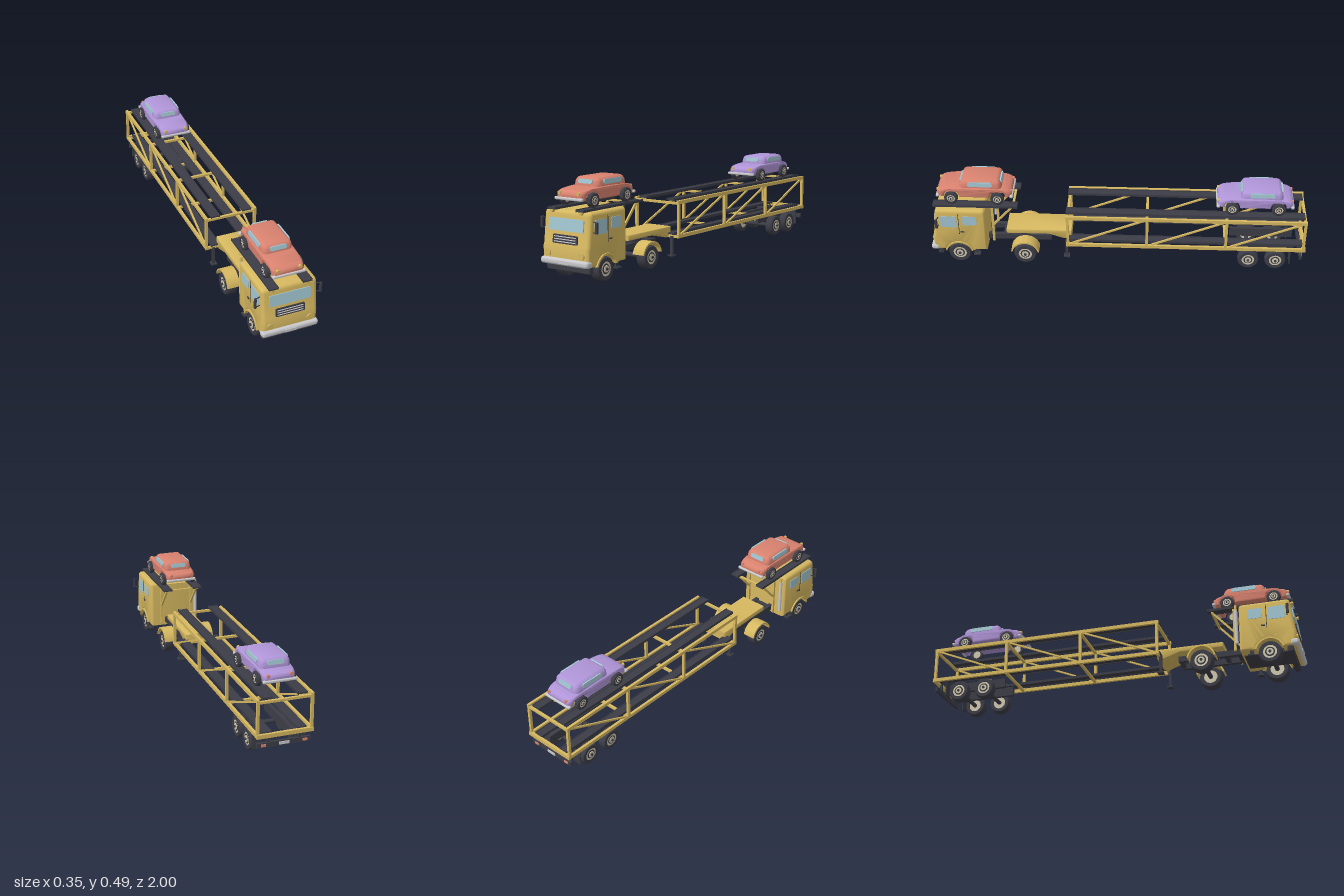
import * as THREE from 'three';
import { toCreasedNormals } from 'three/addons/utils/BufferGeometryUtils.js';
import { RoundedBoxGeometry } from 'three/addons/geometries/RoundedBoxGeometry.js';

const mat = (name, color, side = THREE.FrontSide) => {
  const m = new THREE.MeshStandardMaterial({ color, side });
  m.name = name;
  return m;
};

export function createModel() {
  const yellow = mat('mustard paint', 0xd6b860), dark = mat('dark rubber and steel', 0x3d3d47);
  const silver = mat('silver', 0xc9c9cc), glass = mat('pale blue glass', 0xa2c6d2);
  const red = mat('coral paint', 0xd9826f), purple = mat('lilac paint', 0xb095d8);
  const cream = mat('cream wheel', 0xd0c7ae);
  const root = new THREE.Group();
  root.name = 'carTransporter';

  const group = (name, parent = root) => {
    const g = new THREE.Group();
    g.name = name;
    parent.add(g);
    return g;
  };
  const add = (p, name, geo, m, x = 0, y = 0, z = 0) => {
    const mesh = new THREE.Mesh(geo, m);
    mesh.name = name;
    mesh.position.set(x, y, z);
    p.add(mesh);
    return mesh;
  };
  // Box given by its size and centre
  const box = (p, name, m, w, h, d, x, y, z) => add(p, name, new THREE.BoxGeometry(w, h, d), m, x, y, z);
  const rbox = (p, name, m, w, h, d, r, x, y, z) => add(p, name, new RoundedBoxGeometry(w, h, d, 3, r), m, x, y, z);
  // Square bar between two points
  const beam = (p, name, m, a, b, t) => {
    const A = new THREE.Vector3(...a), B = new THREE.Vector3(...b);
    const mesh = box(p, name, m, t, t, A.distanceTo(B), 0, 0, 0);
    mesh.position.copy(A).add(B).multiplyScalar(0.5);
    mesh.lookAt(B);
    return mesh;
  };
  const disc = (p, name, m, r, d, x, y, z, axis = 'z') => {
    const g = new THREE.CylinderGeometry(r, r, d, 24);
    if (axis === 'z') g.rotateX(Math.PI / 2);
    if (axis === 'x') g.rotateZ(Math.PI / 2);
    return add(p, name, g, m, x, y, z);
  };
  // Side profile drawn in (z, y), extruded across x with rounded edges
  const sideExtrude = (shape, width, bevel) => {
    const g = new THREE.ExtrudeGeometry(shape, {
      depth: width - 2 * bevel, curveSegments: 14, bevelEnabled: bevel > 0,
      bevelSize: bevel, bevelThickness: bevel, bevelOffset: -bevel, bevelSegments: 4,
    });
    g.translate(0, 0, -(width - 2 * bevel) / 2).rotateY(-Math.PI / 2);
    return toCreasedNormals(g, 0.7);
  };
  // Thin plate with rounded corners, facing z
  const plate = (p, name, m, w, h, r, x, y, z, t = 0.006) => {
    const s = new THREE.Shape(), a = w / 2 - r, b = h / 2 - r;
    s.absarc(a, b, r, 0, Math.PI / 2).absarc(-a, b, r, Math.PI / 2, Math.PI);
    s.absarc(-a, -b, r, Math.PI, Math.PI * 1.5).absarc(a, -b, r, Math.PI * 1.5, Math.PI * 2);
    const g = new THREE.ExtrudeGeometry(s, { depth: t, bevelEnabled: false, curveSegments: 5 });
    return add(p, name, g.translate(0, 0, -t / 2), m, x, y, z);
  };
  const wheel = (p, name, r, w, x, y, z) => {
    const g = group(name, p), h = w / 2, s = Math.sign(x);
    g.position.set(x, y, z);
    const pts = [[0.6, -h], [0.9, -h], [0.97, -h * 0.85], [1, -h * 0.6], [1, h * 0.6], [0.97, h * 0.85], [0.9, h], [0.6, h], [0.6, -h]];
    const tyre = new THREE.LatheGeometry(pts.map(([a, b]) => new THREE.Vector2(a * r, b)), 32);
    add(g, 'tyre', toCreasedNormals(tyre.rotateZ(Math.PI / 2), 0.7), dark);
    disc(g, 'rim', cream, r * 0.61, w * 0.88, 0, 0, 0, 'x');
    disc(g, 'rimRecess', dark, r * 0.42, 0.004, s * w * 0.44, 0, 0, 'x');
    disc(g, 'hubCap', cream, r * 0.3, 0.008, s * w * 0.46, 0, 0, 'x');
    disc(g, 'axleNut', dark, r * 0.12, 0.012, s * w * 0.52, 0, 0, 'x');
  };

  // Tractor cab, with wheel arches cut into the side profile
  const truck = group('tractor');
  const cs = new THREE.Shape();
  cs.moveTo(0.70, 0.08).lineTo(0.782, 0.08);
  cs.absarc(0.85, 0.06, 0.071, Math.PI - 0.29, 0.29, true);
  cs.lineTo(0.982, 0.08).lineTo(0.988, 0.165).lineTo(0.982, 0.18).lineTo(0.966, 0.32);
  cs.quadraticCurveTo(0.964, 0.342, 0.942, 0.342).lineTo(0.72, 0.342);
  cs.quadraticCurveTo(0.70, 0.342, 0.70, 0.322).closePath();
  add(truck, 'cab', sideExtrude(cs, 0.288, 0.018), yellow);
  box(truck, 'cabFloor', dark, 0.16, 0.02, 0.25, 0, 0.085, 0.835);
  rbox(truck, 'frontValance', dark, 0.27, 0.034, 0.03, 0.006, 0, 0.066, 0.952);
  rbox(truck, 'frontBumper', silver, 0.296, 0.034, 0.045, 0.014, 0, 0.098, 0.9775);
  plate(truck, 'bumperPlate', silver, 0.064, 0.015, 0.003, 0, 0.098, 1.0);
  plate(truck, 'windscreen', glass, 0.216, 0.06, 0.008, 0, 0.275, 0.973).rotation.x = -0.115;
  plate(truck, 'grille', dark, 0.152, 0.043, 0.006, 0, 0.206, 0.981, 0.009).rotation.x = -0.115;
  for (let i = 0; i < 3; i++)
    rbox(truck, 'grilleBar', silver, 0.136, 0.005, 0.005, 0.002, 0, 0.194 + i * 0.012, 0.987 - i * 0.0014);

  for (const s of [-1, 1]) {
    disc(truck, 'headlight', yellow, 0.017, 0.012, s * 0.104, 0.137, 0.986);
    disc(truck, 'roofLight', yellow, 0.009, 0.02, s * 0.09, 0.336, 0.968);
    for (const [z, y, w, h] of [[0.895, 0.27, 0.085, 0.07], [0.783, 0.278, 0.075, 0.055]])
      plate(truck, 'sideWindow', glass, w, h, 0.008, s * 0.144, y, z).rotation.y = s * Math.PI / 2;
    box(truck, 'doorSeam', dark, 0.003, 0.13, 0.003, s * 0.144, 0.255, 0.842);
    box(truck, 'doorHandle', dark, 0.006, 0.006, 0.02, s * 0.146, 0.205, 0.825);
    const arch = new THREE.Shape();
    arch.absarc(0, 0, 0.078, 0.26, Math.PI - 0.26).absarc(0, 0, 0.069, Math.PI - 0.26, 0.26, true);
    add(truck, 'wheelArchFlare', sideExtrude(arch, 0.02, 0), yellow, s * 0.137, 0.06, 0.85);
    const fender = new THREE.Shape();
    fender.absarc(0, 0, 0.077, 0.2, Math.PI - 0.2).absarc(0, 0, 0.069, Math.PI - 0.2, 0.2, true);
    add(truck, 'rearFender', sideExtrude(fender, 0.068, 0), yellow, s * 0.111, 0.064, 0.497);
    wheel(truck, 'frontWheel', 0.06, 0.054, s * 0.112, 0.06, 0.85);
    wheel(truck, 'driveWheel', 0.06, 0.054, s * 0.112, 0.06, 0.497);
    box(truck, 'chassisRail', dark, 0.022, 0.03, 0.58, s * 0.048, 0.115, 0.65);
    box(truck, 'cabStep', dark, 0.03, 0.008, 0.035, s * 0.13, 0.052, 0.757);
    box(truck, 'stepHanger', dark, 0.008, 0.035, 0.02, s * 0.125, 0.07, 0.757);
    // Mirrors
    rbox(truck, 'mirror', dark, 0.012, 0.056, 0.014, 0.004, s * 0.171, 0.272, 0.955);
    for (const y of [0.248, 0.298])
      beam(truck, 'mirrorArm', dark, [s * 0.135, y, 0.945], [s * 0.171, y, 0.955], 0.004);
    // Car track above the cab and its struts
    box(truck, 'cabTrack', dark, 0.046, 0.008, 0.45, s * 0.088, 0.347, 0.755);
    for (const dx of [-0.022, 0.022])
      box(truck, 'cabTrackLip', dark, 0.004, 0.013, 0.45, s * 0.088 + dx, 0.348, 0.755);
    beam(truck, 'rampPost', yellow, [s * 0.088, 0.11, 0.667], [s * 0.088, 0.343, 0.667], 0.012);
    beam(truck, 'rampStrut', yellow, [s * 0.088, 0.215, 0.667], [s * 0.088, 0.34, 0.555], 0.01);
  }
  for (const z of [0.555, 0.667]) box(truck, 'rampCrossbar', yellow, 0.2, 0.01, 0.012, 0, 0.338, z);
  for (const z of [0.37, 0.61, 0.68]) box(truck, 'chassisCrossbar', dark, 0.1, 0.024, 0.02, 0, 0.115, z);
  for (const z of [0.497, 0.85]) disc(truck, 'axle', dark, 0.012, 0.2, 0, 0.06, z, 'x');
  disc(truck, 'couplingPlate', dark, 0.06, 0.022, 0, 0.138, 0.497, 'y');
  disc(truck, 'exhaustStack', silver, 0.009, 0.19, -0.124, 0.225, 0.683, 'y');
  disc(truck, 'exhaustTip', yellow, 0.007, 0.03, -0.124, 0.333, 0.683, 'y');

  // Trailer: gooseneck, truss sides, two levels of tracks
  const trailer = group('trailer');
  const neck = new THREE.Shape();
  neck.moveTo(0.6, 0.15).lineTo(0.6, 0.177).lineTo(0.25, 0.177).lineTo(0.25, 0.123).lineTo(0.29, 0.123).lineTo(0.37, 0.15).closePath();
  add(trailer, 'gooseneck', sideExtrude(neck, 0.15, 0.004), yellow);
  const bays = [0.265, -0.155, -0.575, -0.987], top = 0.308, low = 0.132;
  for (const s of [-1, 1]) {
    const x = s * 0.136;
    for (const y of [top, low]) {
      box(trailer, 'sideRail', yellow, 0.014, 0.018, 1.27, x, y, -0.36);
      box(trailer, 'carTrack', dark, 0.046, 0.008, 1.26, s * 0.088, y + 0.011, -0.355);
      for (const dx of [-0.022, 0.022])
        box(trailer, 'carTrackLip', dark, 0.004, 0.014, 1.26, s * 0.088 + dx, y + 0.011, -0.355);
    }
    bays.forEach((z, i) => {
      box(trailer, 'post', yellow, 0.014, top - low, 0.014, x, (top + low) / 2, z);
      if (i < 3) beam(trailer, 'diagonal', yellow, [x, low + 0.005, z - 0.01], [x, top - 0.005, bays[i + 1] + 0.01], 0.009);
    });
    // Landing leg, bogie and rear fittings
    box(trailer, 'landingLeg', dark, 0.014, 0.1, 0.014, s * 0.1, 0.08, 0.275);
    box(trailer, 'landingFoot', dark, 0.032, 0.007, 0.032, s * 0.1, 0.03, 0.275);
    box(trailer, 'bogieRail', dark, 0.018, 0.05, 0.34, s * 0.06, 0.1, -0.775);
    for (const z of [-0.7, -0.845]) wheel(trailer, 'trailerWheel', 0.056, 0.044, s * 0.113, 0.056, z);
    box(trailer, 'mudflap', dark, 0.05, 0.085, 0.005, s * 0.112, 0.08, -0.92);
    box(trailer, 'bumperHanger', dark, 0.012, 0.06, 0.012, s * 0.08, 0.098, -0.975);
    box(trailer, 'tailLight', red, 0.024, 0.012, 0.005, s * 0.105, 0.08, -0.986);
  }
  for (const z of bays)
    for (const y of [top - 0.006, low - 0.004])
      box(trailer, 'crossMember', yellow, 0.27, 0.012, 0.014, 0, y, z);
  for (const z of [-0.7, -0.845]) disc(trailer, 'trailerAxle', dark, 0.011, 0.2, 0, 0.056, z, 'x');
  box(trailer, 'rearBumper', dark, 0.27, 0.024, 0.014, 0, 0.08, -0.977);
  box(trailer, 'rearPlate', silver, 0.05, 0.014, 0.004, 0, 0.08, -0.986);
  box(trailer, 'rearSill', yellow, 0.286, 0.02, 0.016, 0, low, -0.991);

  // Carried cars, built around y = 0 at the track and z = 0 at the middle
  const car = (name, paint, y0, z0) => {
    const c = group(name);
    c.position.set(0, y0, z0);
    const s = new THREE.Shape();
    s.moveTo(-0.18, 0.034).lineTo(-0.163, 0.034);
    s.absarc(-0.122, 0.034, 0.041, Math.PI, 0, true);
    s.lineTo(0.081, 0.034).absarc(0.122, 0.034, 0.041, Math.PI, 0, true).lineTo(0.185, 0.034);
    s.quadraticCurveTo(0.2, 0.04, 0.198, 0.06).quadraticCurveTo(0.195, 0.08, 0.16, 0.085);
    s.quadraticCurveTo(0.08, 0.094, 0, 0.094).quadraticCurveTo(-0.08, 0.094, -0.15, 0.087);
    s.quadraticCurveTo(-0.196, 0.082, -0.198, 0.06).quadraticCurveTo(-0.198, 0.036, -0.18, 0.034);
    const g = sideExtrude(s, 0.178, 0.014), p = g.attributes.position;
    // Narrow the body towards both ends
    for (let i = 0; i < p.count; i++) p.setX(i, p.getX(i) * (1 - 0.17 * Math.pow(Math.abs(p.getZ(i)) / 0.2, 5)));
    add(c, 'carBody', toCreasedNormals(g, 0.8), paint);
    const r = new RoundedBoxGeometry(0.164, 0.074, 0.23, 4, 0.026), q = r.attributes.position;
    // Lean the cabin sides inwards
    for (let i = 0; i < q.count; i++) {
      const t = q.getY(i) / 0.074 + 0.5;
      q.setX(i, q.getX(i) * (1 - 0.09 * t));
      q.setZ(i, q.getZ(i) * (1 - 0.1 * t));
    }
    r.computeVertexNormals();
    add(c, 'carCabin', toCreasedNormals(r, 0.8), paint, 0, 0.098, -0.033);
    plate(c, 'carWindscreen', glass, 0.086, 0.022, 0.009, 0, 0.114, 0.074, 0.009).rotation.x = -0.2;
    plate(c, 'carRearWindow', glass, 0.086, 0.022, 0.009, 0, 0.114, -0.14, 0.009).rotation.set(0.2, Math.PI, 0);
    for (const k of [-1, 1]) {
      const w = plate(c, 'carSideWindow', glass, 0.13, 0.024, 0.01, k * 0.0765, 0.113, -0.033, 0.008);
      w.rotation.order = 'YXZ';
      w.rotation.set(-0.1, k * Math.PI / 2, 0);
      for (const z of [0.122, -0.122]) wheel(c, 'carWheel', 0.036, 0.024, k * 0.086, 0.036, z);
      disc(c, 'carHeadlight', yellow, 0.009, 0.012, k * 0.058, 0.07, 0.194);
      disc(c, 'carTailLight', red, 0.008, 0.01, k * 0.058, 0.07, -0.194);
    }
    for (const z of [0.195, -0.195])
      rbox(c, 'carBumper', silver, 0.172, 0.015, 0.018, 0.006, 0, 0.043, z);
  };
  car('frontCar', red, 0.352, 0.757);
  car('rearCar', purple, 0.324, -0.722);
  return root;
}
